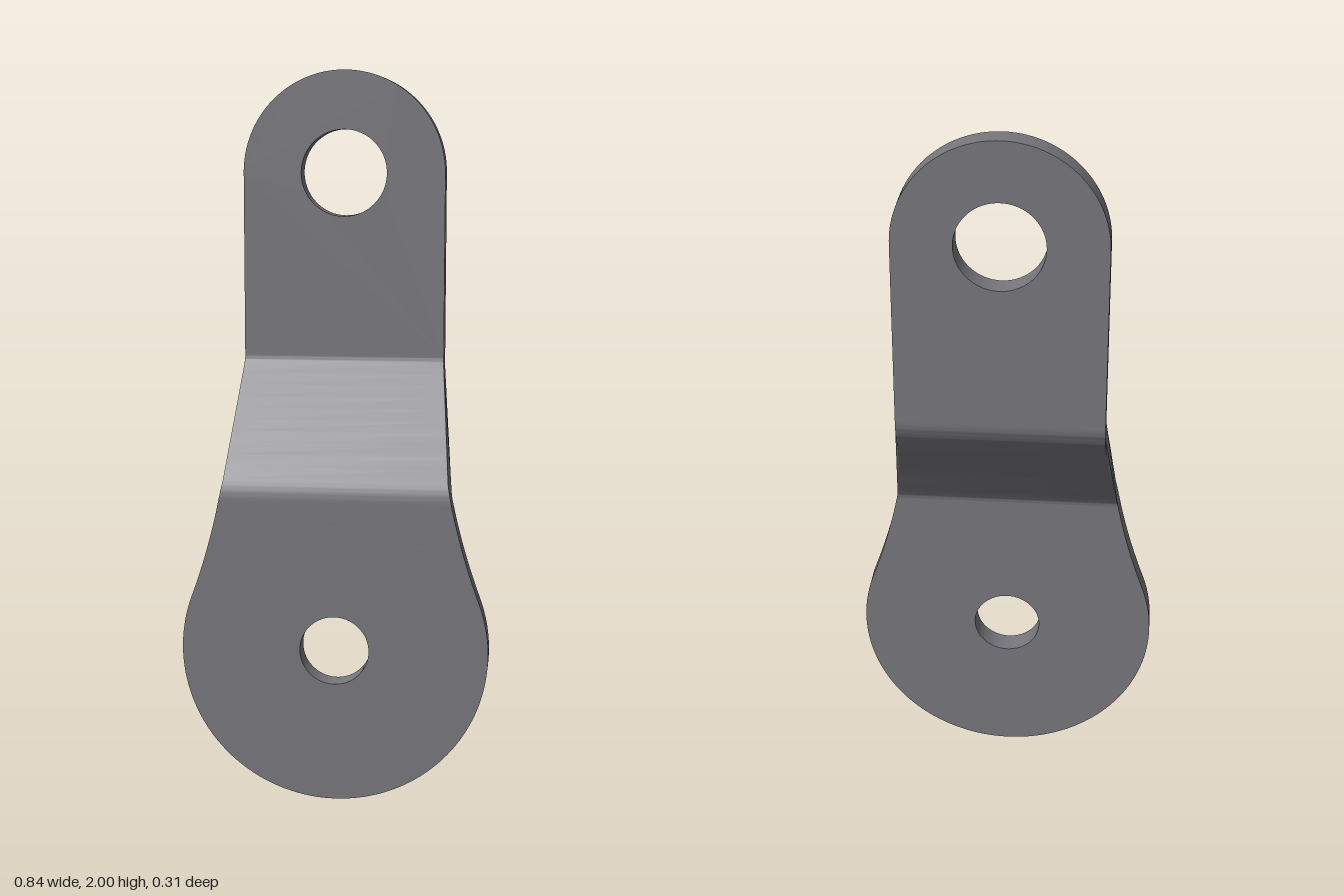
import * as THREE from 'three';
import { toCreasedNormals } from 'three/addons/utils/BufferGeometryUtils.js';

const T = 0.07;                       // sheet thickness
const LOW = 0.84, HIGH = 1.212;       // heights where the bends begin and end
const BEND = THREE.MathUtils.degToRad(35.5);
const INNER = 0.03, OUTER = INNER + T; // bend radii
const BASE_R = 0.422, TOP_R = 0.28;   // rounded ends
const TOP_Y = 2 - TOP_R;

// Concave flank: tangent to the straight upper edge and to the round base
const RISE = HIGH - BASE_R;
const FLANK = (TOP_R ** 2 + RISE ** 2 - BASE_R ** 2) / (2 * (BASE_R - TOP_R));
const FLANK_X = TOP_R + FLANK;
const TANGENT = Math.atan2(RISE, FLANK_X);
const halfWidth = (y) => FLANK_X - Math.sqrt(FLANK ** 2 - (HIGH - y) ** 2);

function addHole(shape, y, r) {
  shape.holes.push(new THREE.Path().absarc(0, y, r, 0, Math.PI * 2, true));
}

function plate(shape, z) {
  const g = new THREE.ExtrudeGeometry(shape, { depth: T, bevelEnabled: false, curveSegments: 48 });
  return toCreasedNormals(g.translate(0, 0, z), 0.5);
}

// Round base with its flanks, up to the first bend
function lowerPlate() {
  const cut = Math.asin((HIGH - LOW) / FLANK);
  const s = new THREE.Shape();
  s.moveTo(-halfWidth(LOW), LOW);
  s.absarc(-FLANK_X, HIGH, FLANK, -cut, -TANGENT, true);
  s.absarc(0, BASE_R, BASE_R, Math.PI - TANGENT, Math.PI * 2 + TANGENT, false);
  s.absarc(FLANK_X, HIGH, FLANK, Math.PI + TANGENT, Math.PI + cut, true);
  addHole(s, 0.425, 0.095);
  return plate(s, 0.083);
}

// Straight tab with a round end, above the second bend
function upperPlate() {
  const s = new THREE.Shape();
  s.moveTo(-TOP_R, HIGH);
  s.lineTo(TOP_R, HIGH);
  s.absarc(0, TOP_Y, TOP_R, 0, Math.PI, false);
  addHole(s, TOP_Y, 0.119);
  return plate(s, -0.153);
}

// One face of the S-bend in (-z, y), from bottom to top
function bendEdge(r1, r2) {
  const pts = [], n = 10, c = 0.053;
  for (let i = 0; i <= n; i++) {
    const a = BEND * i / n;
    pts.push(new THREE.Vector2(-c - r1 * Math.cos(a), LOW + r1 * Math.sin(a)));
  }
  const start = pts[n];
  const end = new THREE.Vector2(c + r2 * Math.cos(BEND), HIGH - r2 * Math.sin(BEND));
  for (let i = 1; i < n; i++) pts.push(start.clone().lerp(end, i / n));
  for (let i = n; i >= 0; i--) {
    const a = BEND * i / n;
    pts.push(new THREE.Vector2(c + r2 * Math.cos(a), HIGH - r2 * Math.sin(a)));
  }
  return pts;
}

// Sloped web: the bent section swept across x, then fitted to the flank width
function bentWeb() {
  const section = new THREE.Shape([...bendEdge(OUTER, INNER), ...bendEdge(INNER, OUTER).reverse()]);
  const g = new THREE.ExtrudeGeometry(section, { depth: 2, bevelEnabled: false });
  g.translate(0, 0, -1).rotateY(Math.PI / 2);
  const p = g.attributes.position;
  for (let i = 0; i < p.count; i++) p.setX(i, p.getX(i) * halfWidth(p.getY(i)));
  return toCreasedNormals(g, 0.5);
}

export function createModel() {
  const steel = new THREE.MeshStandardMaterial({ color: 0x77777d });
  steel.name = 'grey steel';
  const group = new THREE.Group();
  group.name = 'offsetBracket';
  const parts = { lowerPlate: lowerPlate(), bentWeb: bentWeb(), upperPlate: upperPlate() };
  for (const [name, geometry] of Object.entries(parts)) {
    const mesh = new THREE.Mesh(geometry, steel);
    mesh.name = name;
    group.add(mesh);
  }
  return group;
}
